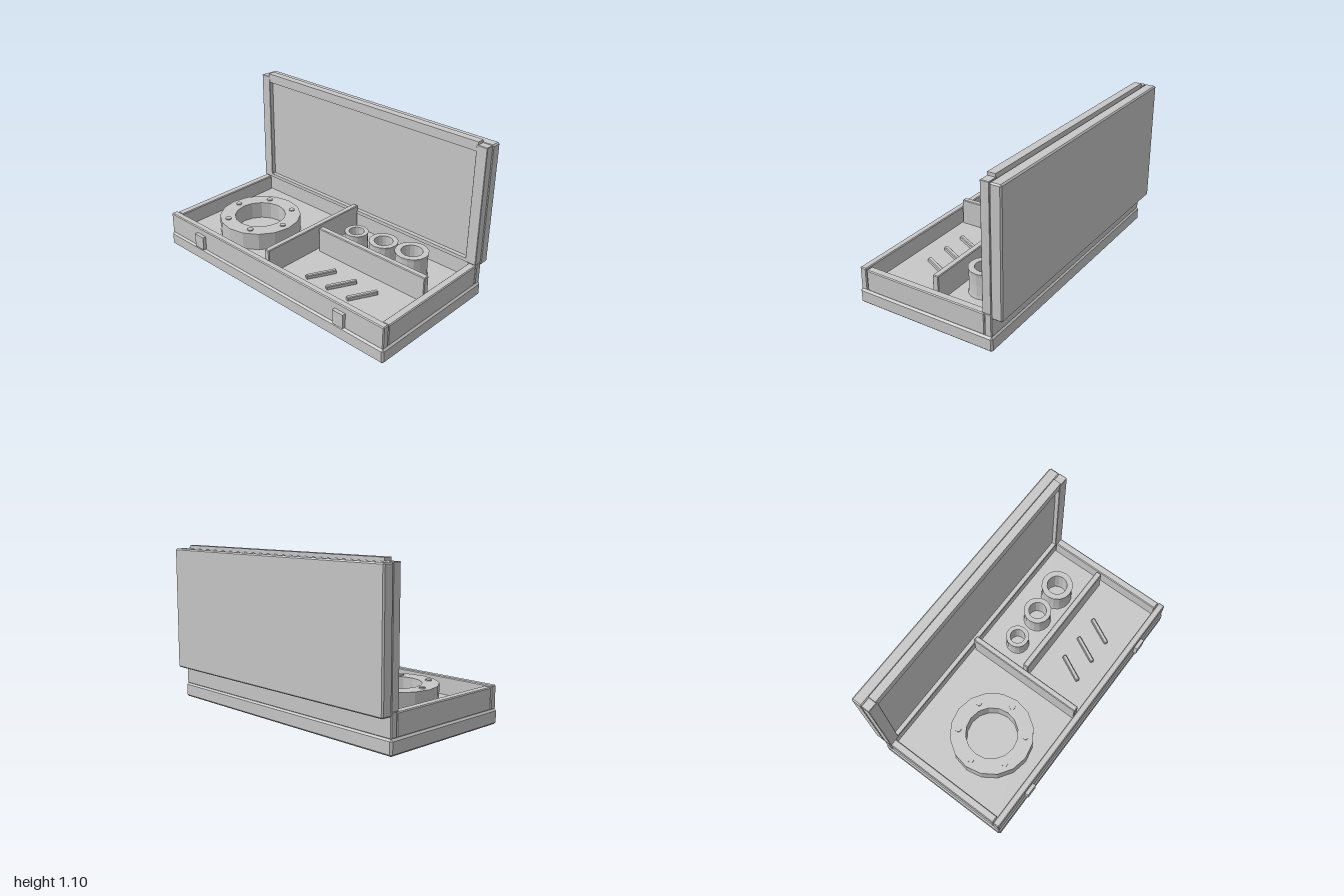
import * as THREE from 'three';
import { ConvexGeometry } from 'three/addons/geometries/ConvexGeometry.js';

const grey = new THREE.MeshStandardMaterial({ color: 0xc8c8c8 });
grey.name = 'plainGrey';

const FLOOR = 0.135;

// Box with flat chamfered edges: three slightly inset boxes wrapped in a hull
function chamferBox(w, h, d, c) {
  const points = [];
  for (const sx of [-1, 1]) for (const sy of [-1, 1]) for (const sz of [-1, 1]) {
    const x = w / 2, y = h / 2, z = d / 2;
    points.push(
      new THREE.Vector3(sx * x, sy * (y - c), sz * (z - c)),
      new THREE.Vector3(sx * (x - c), sy * y, sz * (z - c)),
      new THREE.Vector3(sx * (x - c), sy * (y - c), sz * z));
  }
  return new ConvexGeometry(points);
}

export function createModel() {
  const model = new THREE.Group();
  model.name = 'openCase';

  function add(name, geometry, x = 0, y = 0, z = 0, parent = model) {
    const mesh = new THREE.Mesh(geometry, grey);
    mesh.name = name;
    mesh.position.set(x, y, z);
    parent.add(mesh);
    return mesh;
  }
  // Box given by its limits on each axis, chamfered when c > 0
  function block(name, [x0, x1], [y0, y1], [z0, z1], c = 0, parent = model) {
    const w = x1 - x0, h = y1 - y0, d = z1 - z0;
    const geometry = c ? chamferBox(w, h, d, c) : new THREE.BoxGeometry(w, h, d);
    return add(name, geometry, (x0 + x1) / 2, (y0 + y1) / 2, (z0 + z1) / 2, parent);
  }
  // Hollow faceted ring turned from a closed profile of [radius, height]
  function ring(name, profile, sides, x, z) {
    const points = [...profile, profile[0]].map(([r, h]) => new THREE.Vector2(r, h));
    const geometry = new THREE.LatheGeometry(points, sides).toNonIndexed();
    geometry.computeVertexNormals();
    return add(name, geometry, x, FLOOR, z);
  }

  // Tray
  block('base', [-1, 1], [0, 0.1], [-0.475, 0.527], 0.012);
  block('floor', [-0.96, 0.96], [0.09, FLOOR], [-0.44, 0.49]);
  block('frontWall', [-0.992, 0.992], [0.098, 0.255], [0.47, 0.518], 0.006);
  block('backWall', [-0.992, 0.992], [0.098, 0.255], [-0.468, -0.418], 0.006);
  for (const s of [-1, 1]) {
    const side = s < 0 ? 'right' : 'left';
    block(side + 'Wall', s < 0 ? [-0.99, -0.936] : [0.936, 0.99], [0.098, 0.246], [-0.416, 0.468], 0.006);
    block(side + 'Latch', [s * 0.655 - 0.043, s * 0.655 + 0.043], [0.112, 0.21], [0.51, 0.543]);
  }

  // Dividers
  block('longDivider', [-0.063, -0.022], [0.1, 0.317], [-0.41, 0.465], 0.005);
  block('crossDivider', [0, 0.9], [0.1, 0.313], [-0.024, 0.019], 0.005);

  // Large ring with six bolt heads
  const rx = -0.511, rz = 0.093, top = 0.258 - FLOOR;
  ring('largeRing', [[0.18, 0], [0.289, 0], [0.289, top], [0.18, top]], 16, rx, rz);
  for (let i = 0; i < 6; i++) {
    const a = i * Math.PI / 3;
    add('bolt', new THREE.CylinderGeometry(0.021, 0.021, 0.02, 10),
      rx + 0.232 * Math.cos(a), 0.256, rz + 0.232 * Math.sin(a));
  }

  // Three small waisted cups, growing in size
  for (const [x, r, y] of [[0.16, 0.083, 0.268], [0.4, 0.1, 0.288], [0.638, 0.114, 0.309]]) {
    const inner = r * 0.64, h = y - FLOOR;
    ring('cup', [[inner, 0], [r, 0], [r * 0.97, h * 0.12], [r * 0.95, h * 0.5], [r * 0.97, h * 0.88], [r, h], [inner, h]],
      16, x, -0.192);
  }

  // Slanted rods
  for (const x of [0.23, 0.409, 0.587]) {
    const rod = add('rod', chamferBox(0.029, 0.03, 0.21, 0.005), x, FLOOR + 0.012, 0.235);
    rod.rotation.y = Math.PI - 0.46;
  }

  // Upright lid with its raised rim around a shallow lining
  const lid = new THREE.Group();
  lid.name = 'lid';
  model.add(lid);
  block('lidPanel', [-0.992, 0.992], [0.226, 1.075], [-0.541, -0.463], 0.009, lid);
  block('lidLining', [-0.93, 0.93], [0.25, 1.05], [-0.47, -0.436], 0, lid);
  block('lidTopRim', [-0.922, 0.922], [1.033, 1.097], [-0.46, -0.406], 0, lid);
  block('lidBottomRim', [-0.922, 0.922], [0.25, 0.275], [-0.46, -0.406], 0, lid);
  block('lidRightRim', [-0.99, -0.912], [0.25, 1.076], [-0.464, -0.404], 0.003, lid);
  block('lidLeftRim', [0.912, 0.99], [0.25, 1.076], [-0.464, -0.404], 0.003, lid);

  return model;
}
